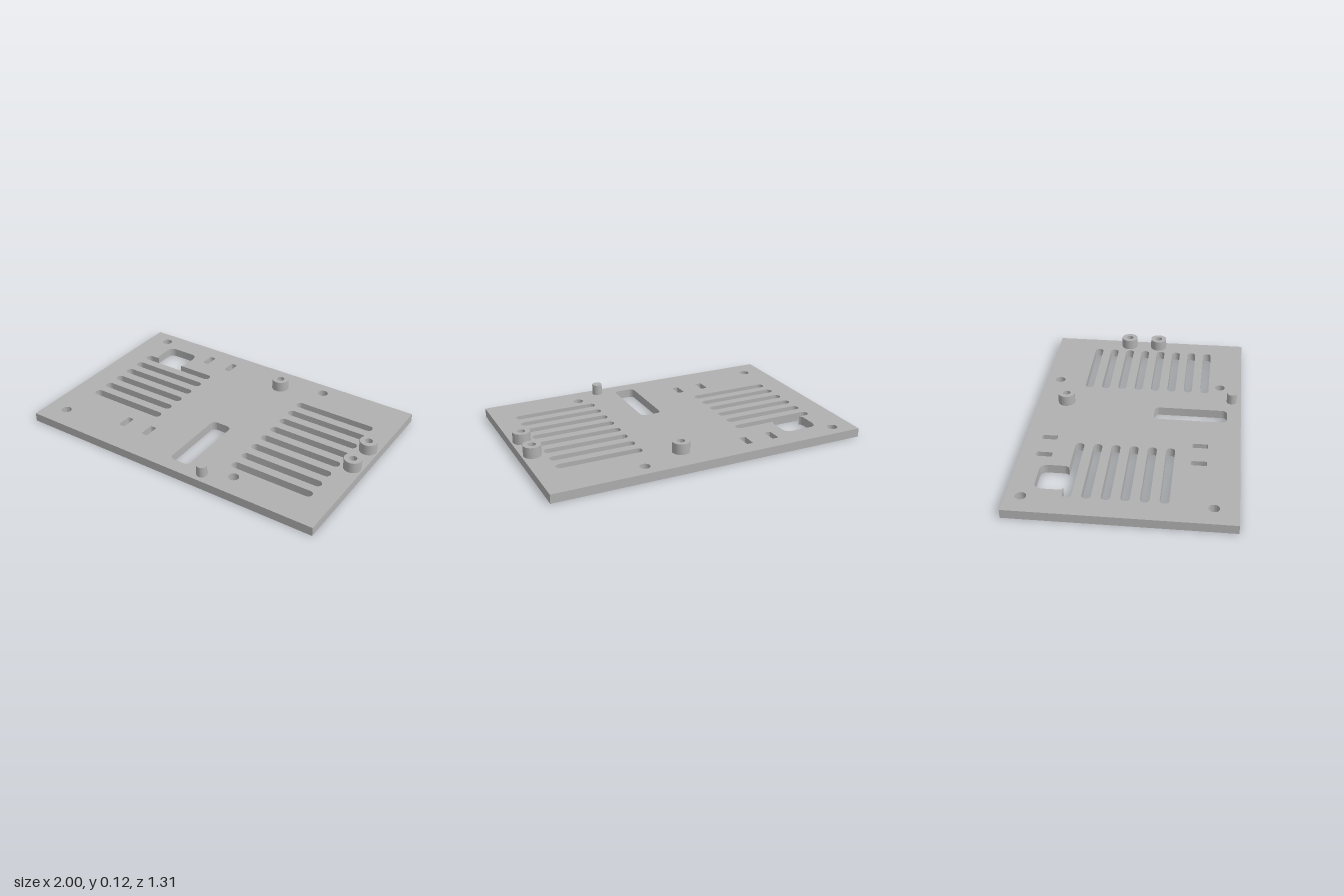
import * as THREE from 'three';
import { toCreasedNormals } from 'three/addons/utils/BufferGeometryUtils.js';

const THICK = 0.055, TOP = 0.122, PI = Math.PI;

// Rounded rectangle outline from x and z limits (shape y is -z)
function roundRect(path, x0, x1, z0, z1, r) {
  const y0 = -z1, y1 = -z0;
  path.absarc(x1 - r, y0 + r, r, -PI / 2, 0);
  path.absarc(x1 - r, y1 - r, r, 0, PI / 2);
  path.absarc(x0 + r, y1 - r, r, PI / 2, PI);
  path.absarc(x0 + r, y0 + r, r, PI, 1.5 * PI);
  path.closePath();
  return path;
}

const circle = (path, x, z, r) => path.absarc(x, -z, r, 0, 2 * PI);

// Extrude a plan outline upwards from y = base
function extrudeUp(shape, base, height) {
  const geo = new THREE.ExtrudeGeometry(shape, { depth: height, bevelEnabled: false, curveSegments: 16 });
  geo.rotateX(-PI / 2);
  geo.translate(0, base, 0);
  return toCreasedNormals(geo, 0.6);
}

export function createModel() {
  const group = new THREE.Group();
  const grey = new THREE.MeshStandardMaterial({ color: 0xb0b0b0 });
  grey.name = 'grey';
  const add = (name, geo) => {
    const mesh = new THREE.Mesh(geo, grey);
    mesh.name = name;
    group.add(mesh);
  };

  const plate = new THREE.Shape();
  plate.moveTo(-1, -0.656);
  plate.lineTo(1, -0.656);
  plate.lineTo(1, 0.656);
  plate.lineTo(-1, 0.656);
  plate.closePath();
  const cutRect = (...a) => plate.holes.push(roundRect(new THREE.Path(), ...a));
  const cutCircle = (...a) => plate.holes.push(circle(new THREE.Path(), ...a));

  // Ventilation slots
  const slot = (x0, x1, z) => cutRect(x0, x1, z - 0.027, z + 0.027, 0.0265);
  for (let i = 1; i < 6; i++) slot(-0.853, -0.324, -0.311 + i * 0.11);
  for (let i = 0; i < 8; i++) slot(0.332, 0.864, -0.357 + i * 0.11);

  // Rounded window that runs into the rearmost left-hand slot
  const win = new THREE.Path();
  win.absarc(-0.826, 0.311, 0.027, PI / 2, 1.5 * PI);
  win.absarc(-0.351, 0.311, 0.027, -PI / 2, PI / 2);
  win.absarc(-0.604, 0.37, 0.04, -0.927, 0);
  win.absarc(-0.609, 0.464, 0.045, 0, PI / 2);
  win.absarc(-0.744, 0.464, 0.045, PI / 2, PI);
  win.absarc(-0.749, 0.37, 0.04, PI, PI + 0.927);
  win.closePath();
  plate.holes.push(win);

  // Central cable opening
  cutRect(-0.008, 0.126, 0.106, 0.568, 0.032);

  // Strap slots and screw holes
  for (const x of [-0.459, -0.281])
    for (const z of [-0.509, 0.413]) cutRect(x - 0.021, x + 0.021, z - 0.048, z + 0.048, 0.009);
  for (const x of [-0.866, 0.409])
    for (const z of [-0.565, 0.515]) cutCircle(x, z, 0.032);

  // Hollow standoffs, bored right through the plate
  for (const [x, z] of [[0.137, -0.474], [0.935, -0.148], [0.935, 0.06]]) {
    cutCircle(x, z, 0.024);
    const ring = circle(new THREE.Shape(), x, z, 0.054);
    ring.holes.push(circle(new THREE.Path(), x, z, 0.024));
    add('standoff', extrudeUp(ring, THICK, TOP - THICK));
  }

  // Solid locating peg
  add('peg', extrudeUp(circle(new THREE.Shape(), 0.242, 0.595, 0.032), THICK, TOP - THICK));

  add('basePlate', extrudeUp(plate, 0, THICK));
  return group;
}
